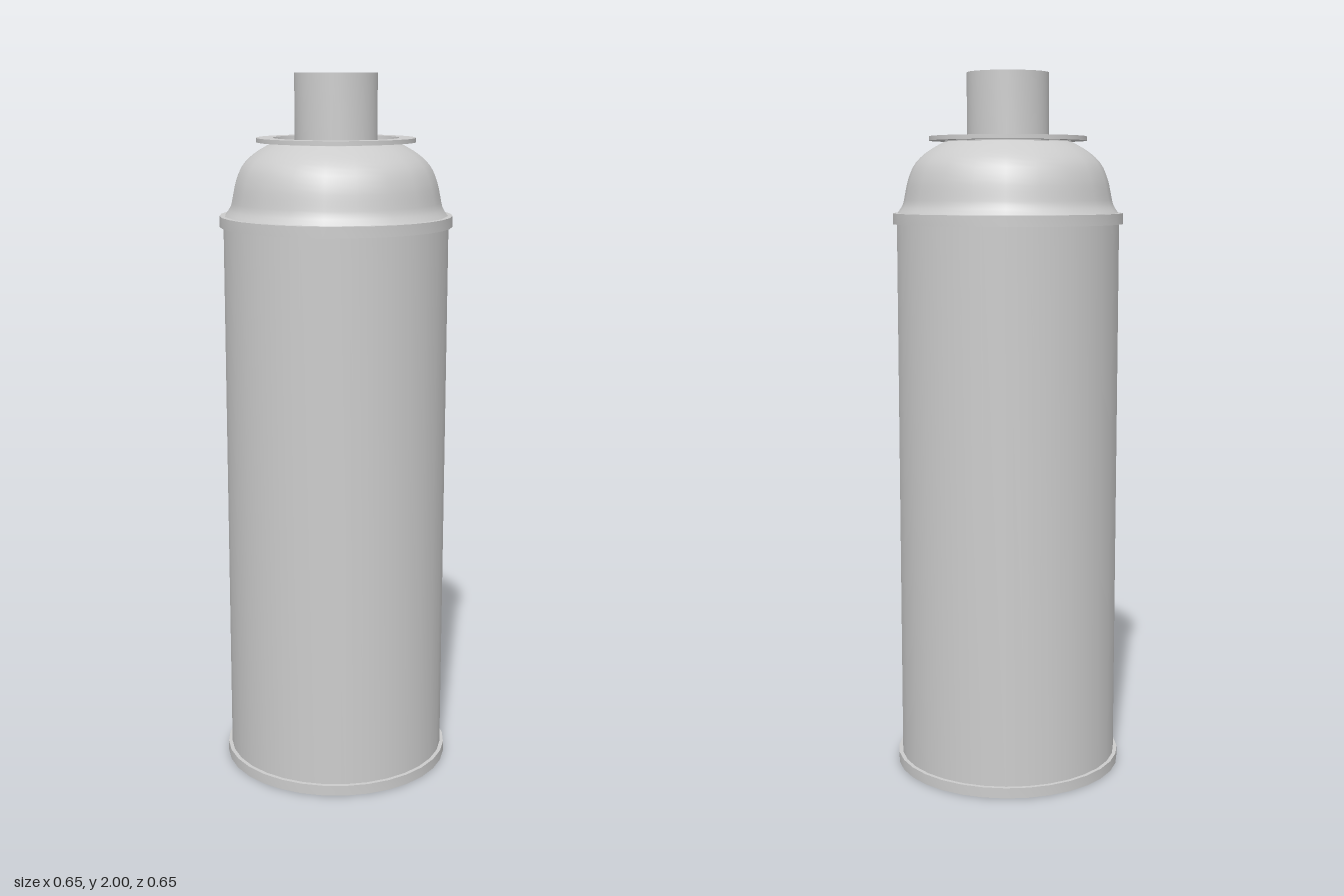
import * as THREE from 'three';
import { toCreasedNormals } from 'three/addons/utils/BufferGeometryUtils.js';

const material = new THREE.MeshStandardMaterial({ color: 0xcccccc });

export function createModel() {
  const can = new THREE.Group();
  can.name = 'sprayCan';

  // Turned part: profile of [radius, height] points running up the outside
  const turn = (name, profile, sides, crease = 0.6) => {
    const points = profile.map(([r, y]) => new THREE.Vector2(r, y));
    const geometry = toCreasedNormals(new THREE.LatheGeometry(points, sides), crease);
    const mesh = new THREE.Mesh(geometry, material);
    mesh.name = name;
    can.add(mesh);
  };

  // Straight body
  turn('body', [[0, 0.005], [0.315, 0.005], [0.315, 1.605], [0, 1.605]], 32);

  // Rolled seams at both ends of the body
  turn('bottomRim', [[0, 0], [0.326, 0], [0.326, 0.03], [0.314, 0.03]], 32);
  turn('topRim', [[0.314, 1.582], [0.326, 1.582], [0.326, 1.612], [0, 1.612]], 32);

  // Shoulder: flared foot, then a rounded dome
  const dome = new THREE.SplineCurve([
    [0.313, 1.612], [0.298, 1.635], [0.291, 1.665], [0.282, 1.705],
    [0.263, 1.748], [0.228, 1.782], [0.18, 1.81],
  ].map(([r, y]) => new THREE.Vector2(r, y)));
  turn('shoulder', dome.getPoints(16).map((p) => [p.x, p.y]), 20);

  // Valve cup: thin flange around a shallow recess
  turn('valveCup', [
    [0.176, 1.813], [0.222, 1.813], [0.222, 1.825],
    [0.175, 1.825], [0.172, 1.808], [0, 1.808],
  ], 32);

  // Nozzle button
  turn('nozzle', [[0.115, 1.805], [0.115, 2], [0, 2]], 32);

  return can;
}
